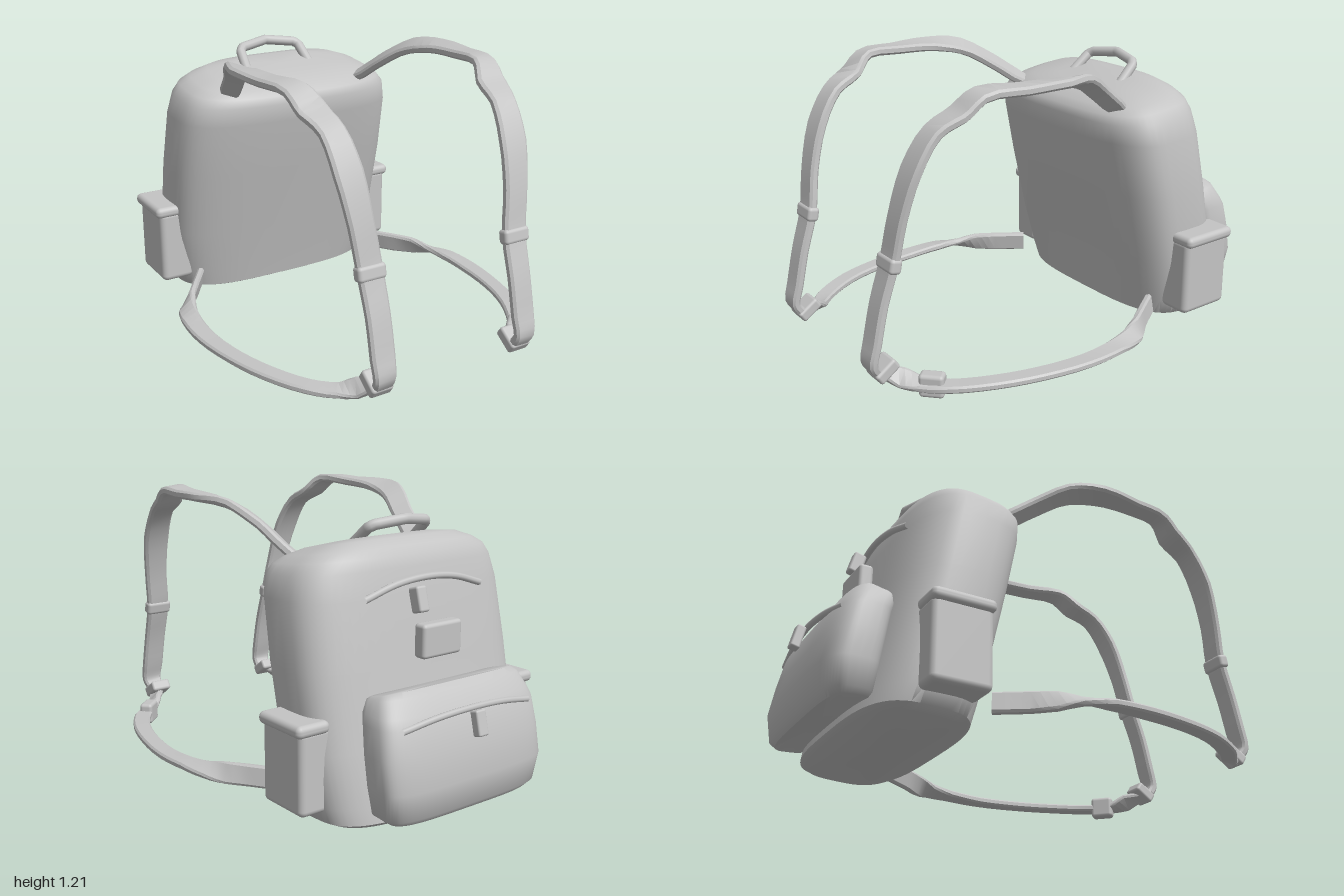
import * as THREE from 'three';
import { toCreasedNormals } from 'three/addons/utils/BufferGeometryUtils.js';
import { RoundedBoxGeometry } from 'three/addons/geometries/RoundedBoxGeometry.js';

// Closed skin over a list of rings of Vector3, capped at both ends
function skin(rings, crease) {
  const n = rings[0].length, pos = [], idx = [];
  rings.forEach(r => r.forEach(p => pos.push(p.x, p.y, p.z)));
  for (let i = 0; i < rings.length - 1; i++) {
    for (let j = 0; j < n; j++) {
      const a = i * n + j, b = i * n + (j + 1) % n;
      idx.push(a, a + n, b, b, a + n, b + n);
    }
  }
  [0, rings.length - 1].forEach((r, end) => {
    const c = new THREE.Vector3();
    rings[r].forEach(p => c.addScaledVector(p, 1 / n));
    const ci = pos.length / 3;
    pos.push(c.x, c.y, c.z);
    for (let j = 0; j < n; j++) {
      const a = r * n + j, b = r * n + (j + 1) % n;
      if (end) idx.push(ci, b, a); else idx.push(ci, a, b);
    }
  });
  const g = new THREE.BufferGeometry();
  g.setAttribute('position', new THREE.Float32BufferAttribute(pos, 3));
  g.setIndex(idx);
  return toCreasedNormals(g, crease);
}

// Padded bag: rows of [front z, front y, back z, back y, half width]
function bag(rows, power, n = 56) {
  const soft = v => Math.sign(v) * Math.pow(Math.abs(v), 2 / power);
  return skin(rows.map(([zf, yf, zb, yb, hw]) => Array.from({ length: n }, (_, j) => {
    const t = j / n * Math.PI * 2, f = (1 + soft(Math.sin(t))) / 2;
    return new THREE.Vector3(hw * soft(Math.cos(t)),
      THREE.MathUtils.lerp(yb, yf, f), THREE.MathUtils.lerp(zb, zf, f));
  })), 0.85);
}

// Webbing: rows of [x, y, z, width, roll], swept with a flat eight-sided section
function webbing(rows, thick, sideways, s = 1, steps = 3) {
  const curve = new THREE.CatmullRomCurve3(
    rows.map(r => new THREE.Vector3(r[0] * s, r[1], r[2])), false, 'centripetal');
  const total = (rows.length - 1) * steps, up = new THREE.Vector3(0, 1, 0), rings = [];
  for (let i = 0; i <= total; i++) {
    const k = Math.min(Math.floor(i / steps), rows.length - 2), f = i / steps - k;
    const width = THREE.MathUtils.lerp(rows[k][3], rows[k + 1][3], f);
    const roll = THREE.MathUtils.lerp(rows[k][4], rows[k + 1][4], f) * s;
    const p = curve.getPoint(i / total), t = curve.getTangent(i / total);
    const side = sideways ? new THREE.Vector3(1, 0, 0) : t.clone().cross(up);
    side.addScaledVector(t, -side.dot(t)).normalize().applyAxisAngle(t, roll);
    const out = side.clone().cross(t);
    const w = width / 2, h = thick / 2;
    rings.push([[w, -h * .5], [w, h * .5], [w * .8, h], [-w * .8, h],
      [-w, h * .5], [-w, -h * .5], [-w * .8, -h], [w * .8, -h]]
      .map(([a, b]) => p.clone().addScaledVector(side, a).addScaledVector(out, b)));
  }
  return skin(rings, 0.6);
}

export function createModel() {
  const model = new THREE.Group();
  model.name = 'backpack';
  const fabric = new THREE.MeshStandardMaterial({ color: 0xc4c4c4 });
  fabric.name = 'grey fabric';

  const add = (name, geometry, parent = model) => {
    const m = new THREE.Mesh(geometry, fabric);
    m.name = name;
    parent.add(m);
    return m;
  };
  const block = (name, size, at, radius, tilt = 0, parent = model) => {
    const m = add(name, new RoundedBoxGeometry(...size, 3, radius), parent);
    m.position.set(...at);
    m.rotation.x = tilt;
    return m;
  };
  const piping = (name, pts, r) => add(name, new THREE.TubeGeometry(
    new THREE.CatmullRomCurve3(pts.map(p => new THREE.Vector3(...p))), 24, r, 8));

  // Main compartment, leaning back at the foot
  add('mainBag', bag([
    [-.40, 0, -.80, .02, .45],
    [-.362, .02, -.822, .04, .49],
    [-.345, .1, -.81, .1, .51],
    [-.30, .3, -.765, .3, .53],
    [-.23, .6, -.705, .6, .532],
    [-.175, .84, -.655, .86, .52],
    [-.162, .92, -.63, .96, .50],
    [-.175, .955, -.615, 1.005, .47],
    [-.205, .98, -.59, 1.035, .42],
    [-.25, 1.005, -.55, 1.062, .34],
    [-.31, 1.025, -.50, 1.068, .2],
  ], 3.3));

  // Outer pocket on the back, with a sloping lid
  add('backPocket', bag([
    [-.76, .075, -.935, .065, .36],
    [-.75, .09, -.957, .09, .385],
    [-.74, .2, -.972, .2, .405],
    [-.72, .32, -.95, .32, .405],
    [-.70, .43, -.925, .43, .395],
    [-.69, .47, -.905, .465, .385],
    [-.69, .505, -.865, .53, .36],
    [-.70, .51, -.84, .548, .34],
  ], 4));

  // Zips, pulls and patch
  piping('upperZip', [[-.3, .86, -.652], [-.15, .905, -.662], [0, .92, -.668],
    [.15, .905, -.662], [.3, .86, -.652]], .014);
  block('upperZipPull', [.05, .1, .055], [.085, .848, -.715], .01, .27);
  block('patch', [.2, .135, .06], [0, .69, -.735], .015);
  piping('pocketZip', [[-.33, .425, -.905], [-.17, .452, -.922], [0, .462, -.93],
    [.17, .452, -.922], [.33, .425, -.905]], .013);
  block('pocketZipPull', [.05, .1, .038], [0, .41, -.967], .008, .24);

  // Carry handle
  const grip = new THREE.CurvePath();
  const bend = [[-.16, 1.03, -.41], [-.15, 1.10, -.49], [-.13, 1.112, -.505], [0, 1.128, -.535],
    [.13, 1.112, -.505], [.15, 1.10, -.49], [.16, 1.03, -.41]].map(p => new THREE.Vector3(...p));
  bend.slice(1).forEach((p, i) => grip.add(new THREE.LineCurve3(bend[i], p)));
  add('carryHandle', new THREE.TubeGeometry(grip, 36, .022, 10));

  // Parts mirrored on both sides
  for (const s of [1, -1]) {
    const side = new THREE.Group();
    side.name = s > 0 ? 'leftSide' : 'rightSide';
    model.add(side);

    // Side pocket with rolled cuff
    block('sidePocket', [.15, .335, .25], [s * .532, .245, -.545], .025, 0, side);
    block('sidePocketCuff', [.15, .05, .265], [s * .55, .415, -.547], .022, 0, side);

    // Shoulder strap
    add('shoulderStrap', webbing([
      [.32, .965, -.27, .07, .5], [.345, 1.01, -.2, .09, .6], [.375, 1.08, -.1, .09, .6],
      [.43, 1.155, .03, .1, .5], [.465, 1.175, .17, .12, .15], [.46, 1.178, .35, .1, 0],
      [.435, 1.178, .52, .105, -.1], [.41, 1.115, .6, .13, 0], [.39, 1.06, .7, .11, 0],
      [.375, .93, .785, .12, 0], [.355, .75, .84, .105, 0], [.335, .58, .87, .105, 0],
      [.33, .42, .92, .1, 0], [.33, .27, .955, .1, 0], [.33, .19, .972, .09, 0],
      [.325, .15, .95, .08, 0],
    ], .036, true, s), side);
    block('strapAdjuster', [.12, .06, .05], [s * .335, .575, .872], .015, -.2, side);
    block('strapEnd', [.095, .05, .1], [s * .328, .15, .915], .012, .6, side);

    // Lower strap looping round to the foot of the bag
    add('lowerStrap', webbing([
      [.33, .14, .92, .06, .4], [.375, .11, .86, .08, .9], [.43, .09, .81, .07, .2],
      [.51, .09, .73, .075, 0], [.595, .095, .58, .075, 0], [.65, .095, .4, .075, 0],
      [.678, .095, .2, .08, 0], [.672, .1, .04, .08, .1], [.645, .1, -.07, .08, .5],
      [.60, .1, -.15, .09, 1.2], [.54, .1, -.23, .09, 1.4], [.46, .1, -.35, .09, 1.4],
    ], .03, false, s), side);
  }

  // Single buckle on the left lower strap
  const buckle = block('lowerStrapBuckle', [.1, .095, .06], [.455, .09, .775], .015);
  buckle.rotation.y = .75;
  return model;
}
